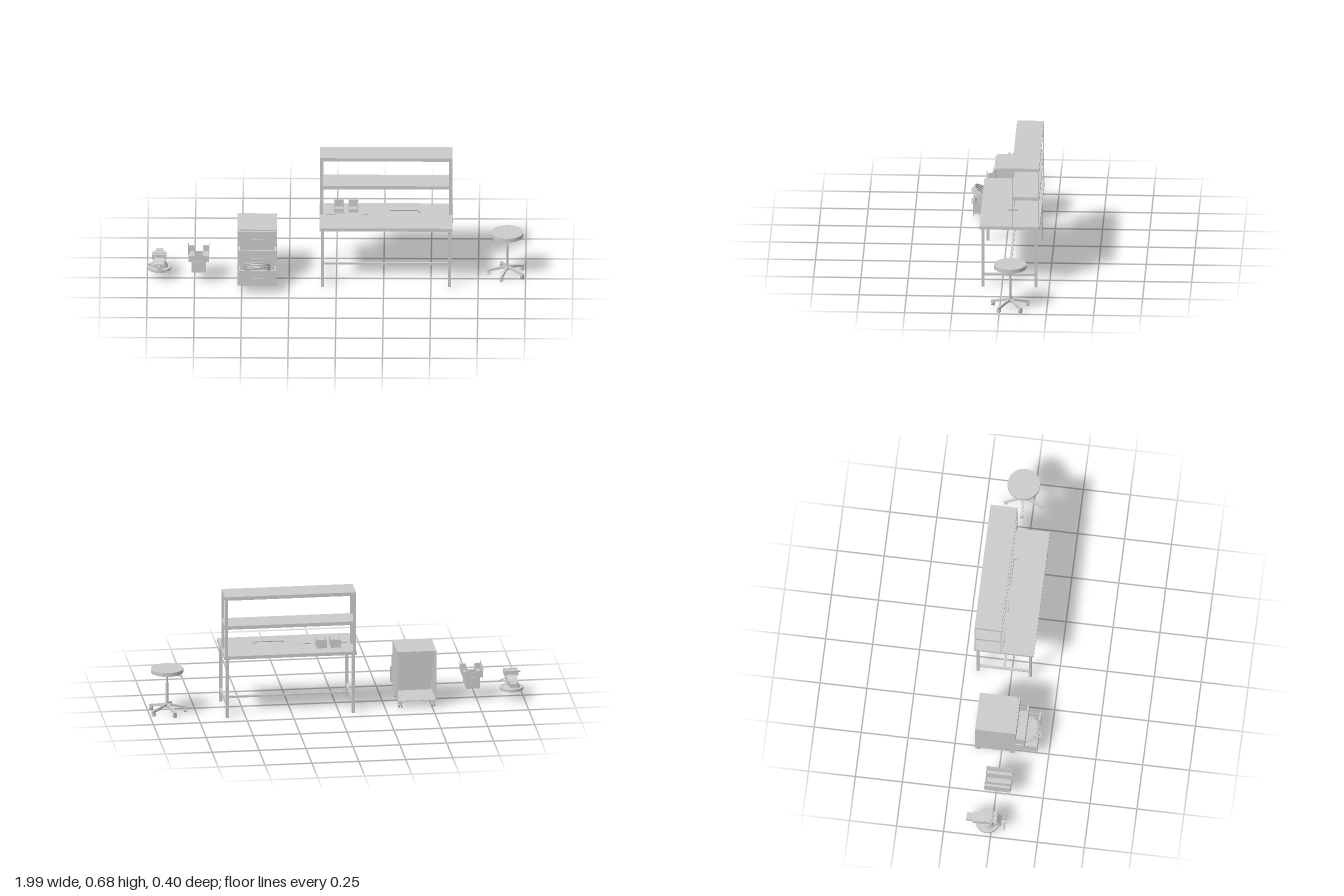
import * as THREE from 'three';

const mat = new THREE.MeshStandardMaterial({ color: 0xcccccc, side: THREE.DoubleSide });

function add(parent, name, geo, x = 0, y = 0, z = 0) {
  const m = new THREE.Mesh(geo, mat);
  m.name = name;
  m.position.set(x, y, z);
  parent.add(m);
  return m;
}

// Box given by its limits on each axis
function box(parent, name, x0, x1, y0, y1, z0, z1) {
  return add(parent, name, new THREE.BoxGeometry(x1 - x0, y1 - y0, z1 - z0),
    (x0 + x1) / 2, (y0 + y1) / 2, (z0 + z1) / 2);
}

// Cylinder between two points
function rod(parent, name, a, b, r0, r1 = r0, sides = 16) {
  const A = new THREE.Vector3(...a), B = new THREE.Vector3(...b);
  const d = B.clone().sub(A);
  const m = add(parent, name, new THREE.CylinderGeometry(r1, r0, d.length(), sides));
  m.position.copy(A).add(B).multiplyScalar(0.5);
  m.quaternion.setFromUnitVectors(new THREE.Vector3(0, 1, 0), d.normalize());
  return m;
}

// Open-topped container; the front wall may be lower
function tray(parent, name, x0, x1, y0, y1, z0, z1, front = y1, t = 0.003) {
  const g = group(parent, name);
  box(g, 'floor', x0, x1, y0, y0 + t, z0, z1);
  box(g, 'rightWall', x0, x0 + t, y0, y1, z0, z1);
  box(g, 'leftWall', x1 - t, x1, y0, y1, z0, z1);
  box(g, 'backWall', x0, x1, y0, y1, z0, z0 + t);
  box(g, 'frontWall', x0, x1, y0, front, z1 - t, z1);
  return g;
}

function group(parent, name) {
  const g = new THREE.Group();
  g.name = name;
  parent.add(g);
  return g;
}

// Swivel caster hanging from height h
function caster(parent, x, z, h, r, angle = 0) {
  const g = group(parent, 'caster');
  g.position.set(x, 0, z);
  g.rotation.y = angle;
  rod(g, 'stem', [0, h, 0], [0, r, 0], r * 0.35);
  box(g, 'fork', -r * 0.7, r * 0.7, r * 1.5, r * 2.2, -r * 0.8, r * 0.8);
  for (const s of [-1, 1]) rod(g, 'wheel', [s * r * 0.2, r, 0], [s * r * 0.75, r, 0], r, r, 20);
}

function workbench(root) {
  const g = group(root, 'workbench');
  box(g, 'tabletop', -0.09, 0.615, 0.328, 0.346, -0.2, 0.119);
  for (const x of [-0.074, 0.598]) {
    for (const z of [0.1, -0.18]) box(g, 'leg', x - 0.008, x + 0.008, 0, 0.328, z - 0.0075, z + 0.0075);
    box(g, 'sideRail', x - 0.006, x + 0.006, 0.063, 0.075, -0.173, 0.093);
  }
  box(g, 'longRail', -0.07, 0.594, 0.064, 0.074, -0.046, -0.034);
  // Upper rack
  for (const x of [-0.079, 0.604]) {
    box(g, 'frontPost', x - 0.008, x + 0.008, 0.346, 0.675, -0.059, -0.054);
    box(g, 'backPost', x - 0.008, x + 0.008, 0.346, 0.675, -0.197, -0.192);
  }
  for (const y of [0.494, 0.656]) box(g, 'shelf', -0.087, 0.612, y, y + 0.019, -0.197, -0.054);
}

function benchTools(root) {
  const g = group(root, 'benchTools');
  for (const x of [-0.013, 0.062]) tray(g, 'partsBin', x, x + 0.053, 0.352, 0.395, -0.14, -0.066, 0.374);
  // Hammer
  rod(g, 'hammerHandle', [0.28, 0.375, -0.053], [0.44, 0.375, -0.053], 0.005, 0.004);
  box(g, 'hammerHead', 0.43, 0.445, 0.368, 0.38, -0.066, -0.03);
  rod(g, 'hammerPeen', [0.4375, 0.374, -0.066], [0.4375, 0.374, -0.079], 0.006, 0.003);
  // Screwdrivers
  rod(g, 'screwdriverHandle', [-0.055, 0.354, -0.05], [-0.005, 0.354, -0.05], 0.006, 0.005);
  rod(g, 'screwdriverBlade', [-0.005, 0.354, -0.05], [0.05, 0.354, -0.05], 0.002);
  rod(g, 'screwdriverHandle', [0.14, 0.354, -0.05], [0.17, 0.354, -0.05], 0.005, 0.004);
  rod(g, 'screwdriverBlade', [0.17, 0.354, -0.05], [0.2, 0.354, -0.05], 0.002);
}

function cabinet(root) {
  const g = group(root, 'drawerCabinet');
  const x0 = -0.523, x1 = -0.314, t = 0.004;
  // Shell, open at front and back
  box(g, 'top', x0, x1, 0.309, 0.313, -0.14, 0.067);
  box(g, 'bottom', x0, x1, 0.037, 0.041, -0.14, 0.067);
  box(g, 'rightSide', x0, x0 + t, 0.037, 0.313, -0.14, 0.067);
  box(g, 'leftSide', x1 - t, x1, 0.037, 0.313, -0.14, 0.067);
  // Drawers, pulled further out toward the bottom
  for (const [y, z] of [[0.218, 0.076], [0.131, 0.124], [0.043, 0.189]]) {
    const d = group(g, 'drawer');
    box(d, 'drawerFront', x0 + 0.002, x1 - 0.002, y, y + 0.086, z - 0.008, z);
    tray(d, 'drawerBox', x0 + 0.01, x1 - 0.01, y + 0.007, y + 0.078, z - 0.178, z - 0.008);
    box(d, 'handle', -0.448, -0.388, y + 0.039, y + 0.047, z + 0.005, z + 0.011);
    for (const x of [-0.443, -0.393]) box(d, 'handleStand', x - 0.003, x + 0.003, y + 0.04, y + 0.046, z, z + 0.006);
  }
  // Coiled hose leaning in the lowest drawer
  for (let i = 0; i < 4; i++) {
    const k = (i - 1.5) * 0.009;
    const r = add(g, 'coil', new THREE.TorusGeometry(0.066, 0.004, 8, 40),
      -0.4185, 0.123 + k * 0.82, 0.135 - k * 0.57);
    r.rotation.x = 0.96;
  }
  for (const x of [-0.506, -0.331]) for (const z of [0.057, -0.125]) caster(g, x, z, 0.038, 0.015);
}

function stool(root) {
  const g = group(root, 'stool');
  g.position.set(0.903, 0, -0.055);
  add(g, 'seat', new THREE.CylinderGeometry(0.086, 0.086, 0.021, 48), 0, 0.2365, 0);
  rod(g, 'upperColumn', [0, 0.17, 0], [0, 0.226, 0], 0.005);
  rod(g, 'lowerColumn', [0, 0.04, 0], [0, 0.17, 0], 0.0075);
  rod(g, 'hub', [0, 0.03, 0], [0, 0.05, 0], 0.014, 0.012, 20);
  for (let i = 0; i < 5; i++) {
    const a = Math.PI + i * Math.PI * 0.4;
    const spoke = group(g, 'spoke');
    spoke.rotation.y = a;
    const arm = box(spoke, 'arm', 0.006, 0.107, 0.028, 0.04, -0.006, 0.006);
    arm.rotation.z = -0.22;
    arm.position.y = 0.035;
    caster(spoke, 0.097, 0, 0.026, 0.01);
  }
  const path = new THREE.CatmullRomCurve3([[-0.02, 0.223, 0], [-0.05, 0.222, 0], [-0.056, 0.206, 0], [-0.068, 0.199, 0], [-0.098, 0.198, 0]]
    .map(p => new THREE.Vector3(...p)));
  add(g, 'lever', new THREE.TubeGeometry(path, 24, 0.002, 8));
}

function toolbox(root) {
  const g = group(root, 'openToolbox');
  tray(g, 'lowerBox', -0.765, -0.69, 0.067, 0.13, -0.06, 0.078);
  for (const s of [-1, 1]) {
    const a = -0.7275 + s * 0.022, b = -0.7275 + s * 0.054;
    tray(g, 'sideTray', Math.min(a, b), Math.max(a, b), 0.128, 0.163, -0.06, 0.078);
    // Folded-out lid
    const lid = box(g, 'lid', b - 0.001, b + 0.001, 0.16, 0.18, -0.06, 0.078);
    lid.rotation.z = -s * 0.15;
  }
}

// Solid with a side outline in z, y, extruded across x
function slab(parent, name, pts, cx, w) {
  const s = new THREE.Shape(pts.map(p => new THREE.Vector2(-p[0], p[1])));
  const geo = new THREE.ExtrudeGeometry(s, { depth: w, bevelEnabled: false });
  geo.rotateY(Math.PI / 2);
  return add(parent, name, geo, cx - w / 2, 0, 0);
}

function vise(root) {
  const g = group(root, 'benchVise');
  const x = -0.936;
  add(g, 'base', new THREE.CylinderGeometry(0.063, 0.063, 0.014, 40), x, 0.053, -0.023);
  add(g, 'pedestal', new THREE.CylinderGeometry(0.032, 0.046, 0.03, 24), x, 0.075, -0.023);
  slab(g, 'rearBody', [[-0.1, 0.085], [0.005, 0.08], [0.005, 0.125], [-0.04, 0.125], [-0.07, 0.115], [-0.1, 0.112]], x, 0.054);
  box(g, 'anvil', x - 0.02, x + 0.02, 0.088, 0.11, -0.135, -0.1);
  box(g, 'rearJaw', x - 0.038, x + 0.038, 0.12, 0.146, -0.025, 0.002);
  box(g, 'frontJaw', x - 0.038, x + 0.038, 0.12, 0.146, 0.012, 0.028);
  slab(g, 'frontBody', [[0.012, 0.075], [0.05, 0.08], [0.05, 0.1], [0.028, 0.13], [0.012, 0.13]], x, 0.05);
  box(g, 'slide', x - 0.014, x + 0.014, 0.078, 0.1, -0.09, 0.02);
  rod(g, 'screw', [x, 0.088, 0.045], [x, 0.088, 0.078], 0.01);
  const a = [x - 0.055, 0.112, 0.07], b = [x + 0.055, 0.062, 0.07];
  rod(g, 'turningBar', a, b, 0.003);
  for (const p of [a, b]) add(g, 'barKnob', new THREE.SphereGeometry(0.005, 12, 8), ...p);
}

export function createModel() {
  const root = new THREE.Group();
  root.name = 'workshopSet';
  workbench(root);
  benchTools(root);
  cabinet(root);
  stool(root);
  toolbox(root);
  vise(root);
  return root;
}
